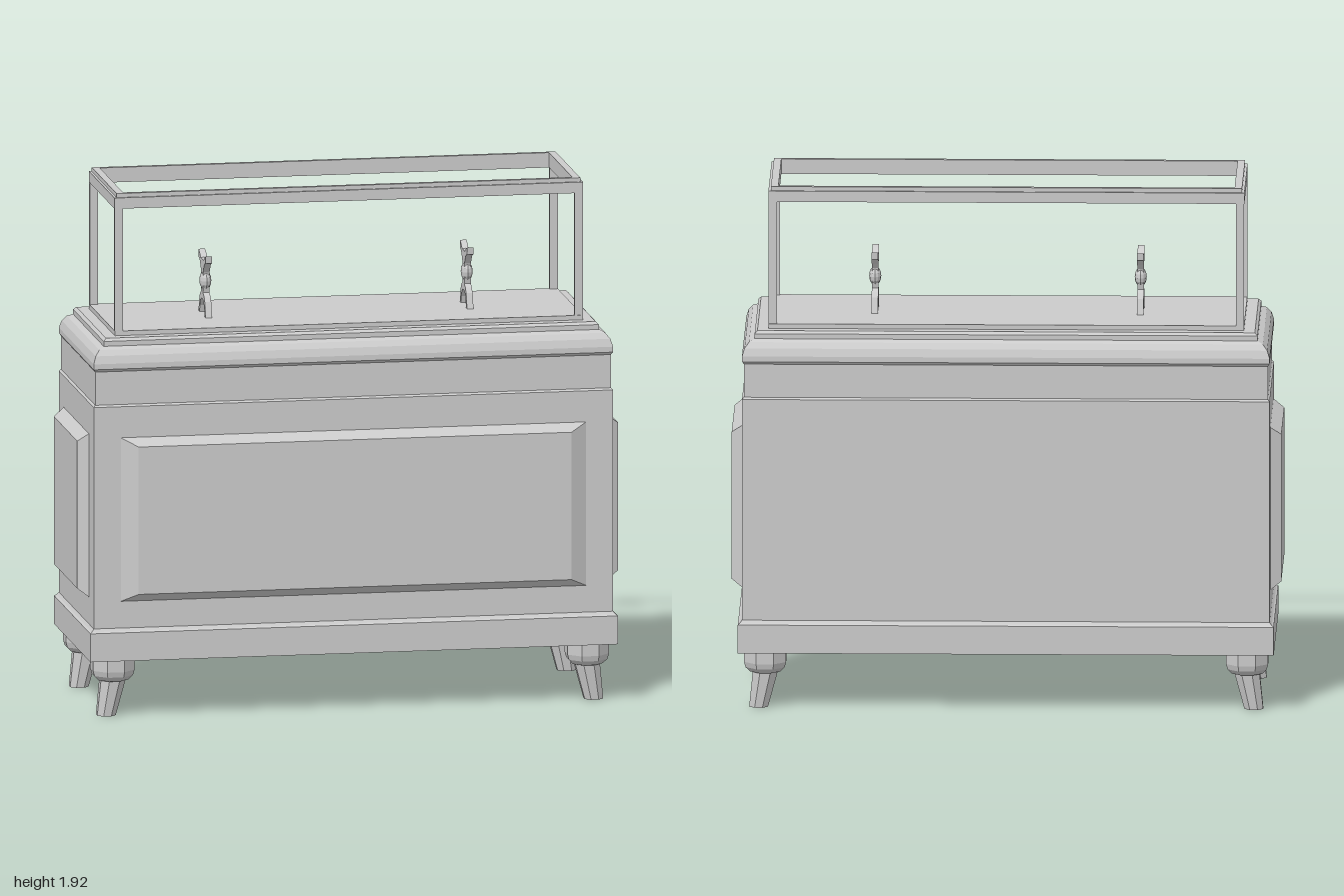
import * as THREE from 'three';

const ZC = -0.01; // the cabinet sits slightly back because of the front panel
const mat = new THREE.MeshStandardMaterial({ color: 0xcccccc, flatShading: true });

function add(parent, name, geometry, x = 0, y = 0, z = 0) {
  const m = new THREE.Mesh(geometry, mat);
  m.name = name;
  m.position.set(x, y, z);
  parent.add(m);
  return m;
}

// Stack of rectangles [halfX, halfZ, y], bottom to top, capped at both ends
function loft(sections) {
  const pos = [];
  const ring = ([a, b, y]) => [[-a, y, b], [a, y, b], [a, y, -b], [-a, y, -b]];
  const quad = (a, b, c, d) => pos.push(...a, ...b, ...c, ...a, ...c, ...d);
  for (let i = 0; i < sections.length - 1; i++) {
    const lo = ring(sections[i]), hi = ring(sections[i + 1]);
    for (let k = 0; k < 4; k++) {
      const n = (k + 1) % 4;
      quad(lo[k], lo[n], hi[n], hi[k]);
    }
  }
  quad(...ring(sections[0]).reverse());
  quad(...ring(sections[sections.length - 1]));
  const g = new THREE.BufferGeometry();
  g.setAttribute('position', new THREE.Float32BufferAttribute(pos, 3));
  g.computeVertexNormals();
  return g;
}

// Same inset all round from the plinth outline
const moulding = (profile) => loft(profile.map(([inset, y]) => [0.975 - inset, 0.374 - inset, y]));

// Flat rectangular ring, lying horizontally
function ringFrame(hx, hz, ix, iz, height) {
  const rect = (P, a, b) => new P([[-a, -b], [a, -b], [a, b], [-a, b]].map((p) => new THREE.Vector2(...p)));
  const s = rect(THREE.Shape, hx, hz);
  s.holes.push(rect(THREE.Path, ix, iz));
  return new THREE.ExtrudeGeometry(s, { depth: height, bevelEnabled: false }).rotateX(-Math.PI / 2);
}

// Octagonal bun foot whose tapered lower part leans outward
function legGeometry(side) {
  const pts = [[0, 0], [0.037, 0], [0.049, 0.13], [0.06, 0.133], [0.077, 0.15], [0.083, 0.17], [0.083, 0.215], [0, 0.215]];
  const g = new THREE.LatheGeometry(pts.map((p) => new THREE.Vector2(...p)), 8, Math.PI / 8);
  const p = g.attributes.position;
  for (let i = 0; i < p.count; i++) {
    const drop = Math.max(0, 0.13 - p.getY(i)) / 0.13;
    p.setX(i, p.getX(i) + side * 0.024 * drop);
  }
  g.computeVertexNormals();
  return g;
}

// Forked display stand with an arched base
function standGeometry() {
  const half = [
    [0.03, 1.622], [0.05, 1.637], [0.075, 1.645], [0.073, 1.618], [0.05, 1.612], [0.033, 1.593],
    [0.02, 1.575], [0.017, 1.55], [0.022, 1.52], [0.018, 1.5], [0.04, 1.49], [0.055, 1.472],
    [0.075, 1.415], [0.052, 1.415], [0.045, 1.442], [0.03, 1.466], [0.012, 1.475],
  ];
  const outline = [...half, ...half.slice().reverse().map(([x, y]) => [-x, y])];
  const shape = new THREE.Shape(outline.map((p) => new THREE.Vector2(...p)));
  return new THREE.ExtrudeGeometry(shape, { depth: 0.024, bevelEnabled: false })
    .translate(0, 0, -0.012).rotateY(Math.PI / 2);
}

export function createModel() {
  const root = new THREE.Group();
  root.name = 'displayCabinet';

  // Plinth, body and stepped top
  add(root, 'plinth', moulding([[0, 0.215], [0, 0.32], [0.007, 0.325], [0.015, 0.335]]), 0, 0, ZC);
  add(root, 'body', moulding([[0.015, 0.33], [0.015, 1.155], [0.023, 1.163]]), 0, 0, ZC);
  add(root, 'cornice', moulding([
    [0.022, 1.16], [0.022, 1.285], [0.015, 1.295], [0.015, 1.315], [0.024, 1.343], [0.04, 1.363],
    [0.06, 1.372], [0.06, 1.39], [0.07, 1.4],
  ]), 0, 0, ZC);
  add(root, 'displayFloor', moulding([[0.11, 1.395], [0.11, 1.417]]), 0, 0, ZC);

  // Raised bevelled panels on the front and both ends
  const front = add(root, 'frontPanel', loft([[0.86, 0.303, 0], [0.8, 0.273, 0.034]]), 0, 0.737, 0.349);
  front.rotation.x = Math.PI / 2;
  for (const s of [-1, 1]) {
    const end = add(root, s > 0 ? 'leftPanel' : 'rightPanel',
      loft([[0.303, 0.259, 0], [0.273, 0.24, 0.041]]), s * 0.959, 0.737, ZC);
    end.rotation.z = -s * Math.PI / 2;
  }

  // Open case: corner posts and top rail
  for (const x of [-1, 1]) {
    for (const z of [-1, 1]) {
      add(root, 'casePost', new THREE.BoxGeometry(0.03, 0.465, 0.012), x * 0.85, 1.6425, ZC + z * 0.256);
      add(root, 'leg', legGeometry(x), x * 0.877, 0, ZC + z * 0.278);
    }
  }
  add(root, 'topRail', ringFrame(0.866, 0.263, 0.83, 0.237, 0.04), 0, 1.87, ZC);
  add(root, 'topRailCap', ringFrame(0.857, 0.255, 0.83, 0.237, 0.015), 0, 1.91, ZC);

  // Pair of stands with a rounded knop in the middle
  for (const s of [-1, 1]) {
    const stand = new THREE.Group();
    stand.name = 'stand';
    stand.position.set(s * 0.483, 0, ZC);
    add(stand, 'standFork', standGeometry());
    add(stand, 'standKnop', new THREE.SphereGeometry(1, 12, 8).scale(0.022, 0.036, 0.032), 0, 1.543, 0);
    root.add(stand);
  }
  return root;
}
